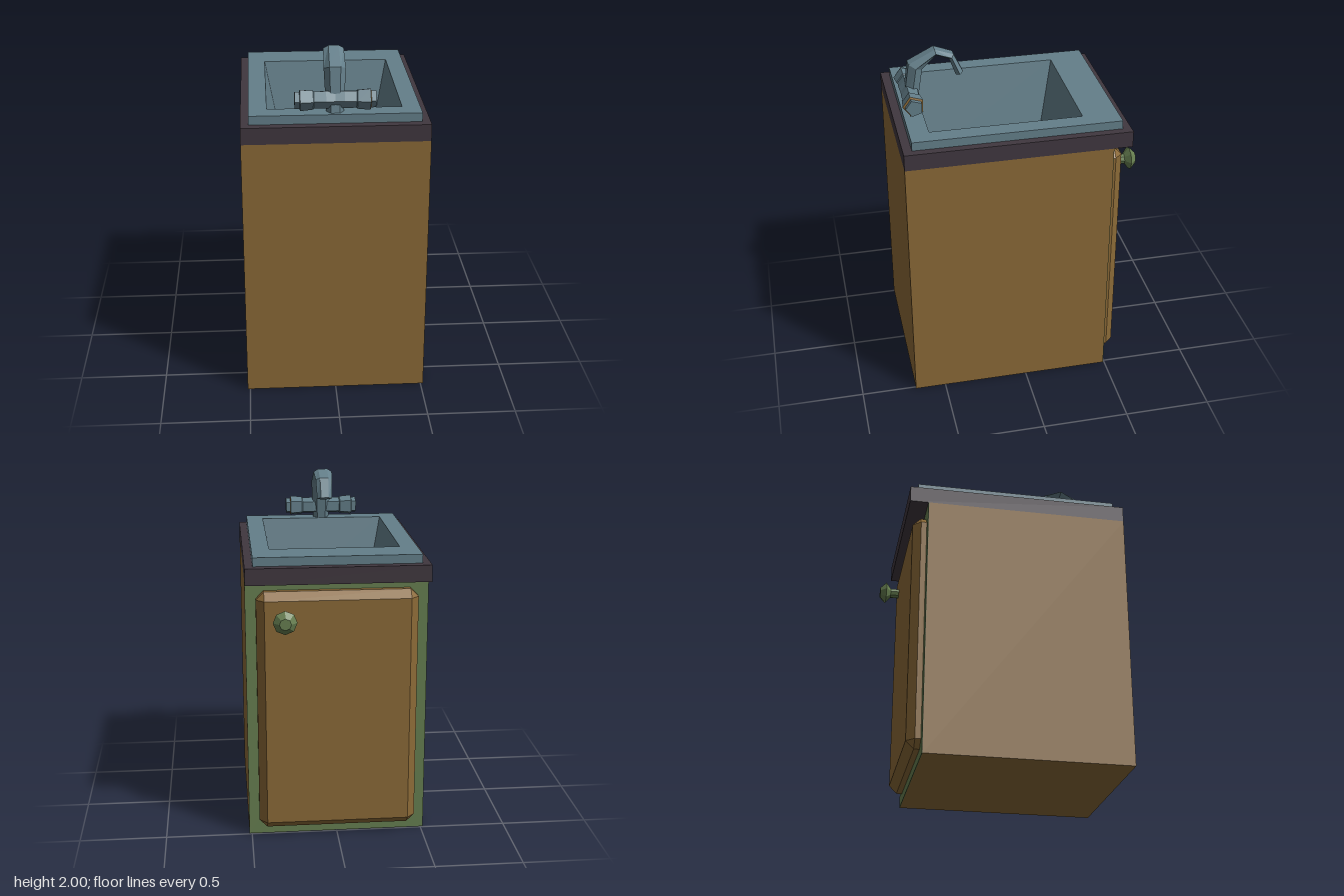
import * as THREE from 'three';
import { ConvexGeometry } from 'three/addons/geometries/ConvexGeometry.js';

const mat = (name, color) => {
  const m = new THREE.MeshStandardMaterial({ color });
  m.name = name;
  return m;
};
const V = (x, y, z) => new THREE.Vector3(x, y, z);

// Horizontal rectangle of corners, counterclockwise from above
const rect = (x, y, z0, z1) => [V(-x, y, z1), V(x, y, z1), V(x, y, z0), V(-x, y, z0)];

// Flat-shaded skin over a row of equal-sized rings, with optional caps
function loft(rings, capStart, capEnd) {
  const pts = [];
  for (let r = 0; r < rings.length - 1; r++) {
    const p = rings[r], q = rings[r + 1], n = p.length;
    for (let i = 0; i < n; i++) {
      const j = (i + 1) % n;
      pts.push(p[i], p[j], q[j], p[i], q[j], q[i]);
    }
  }
  const first = rings[0], last = rings[rings.length - 1];
  for (let i = 1; i < first.length - 1; i++) {
    if (capStart) pts.push(first[0], first[i + 1], first[i]);
    if (capEnd) pts.push(last[0], last[i], last[i + 1]);
  }
  const g = new THREE.BufferGeometry().setFromPoints(pts);
  g.computeVertexNormals();
  return g;
}

// Faceted turned part from [radius, height] pairs
function turned(profile, sides) {
  const g = new THREE.LatheGeometry(profile.map(([r, h]) => new THREE.Vector2(r, h)), sides).toNonIndexed();
  g.computeVertexNormals();
  return g;
}

export function createModel() {
  const wood = mat('wood', 0x8a6937);
  const steel = mat('blue steel', 0x647f8a);
  const dark = mat('dark countertop', 0x40373f);
  const green = mat('green trim', 0x667e50);

  const model = new THREE.Group();
  model.name = 'sinkCabinet';
  const add = (name, geometry, material, parent = model) => {
    const m = new THREE.Mesh(geometry, material);
    m.name = name;
    parent.add(m);
    return m;
  };

  // Cabinet, open under the countertop
  add('cabinet', loft([rect(0.515, 0, -0.49, 0.68), rect(0.515, 1.53, -0.49, 0.68)], true, false), wood);
  add('doorFrame', new THREE.BoxGeometry(1.03, 1.53, 0.004), green).position.set(0, 0.765, -0.491);

  // Countertop with a cutout for the basin
  add('countertop', loft([
    rect(0.4, 1.53, -0.4, 0.55), rect(0.515, 1.53, -0.6, 0.68), rect(0.515, 1.625, -0.6, 0.68),
    rect(0.4, 1.625, -0.4, 0.55), rect(0.4, 1.53, -0.4, 0.55),
  ]), dark);

  // Raised rim, sloping basin walls and floor
  add('basin', loft([
    rect(0.47, 1.625, -0.55, 0.63), rect(0.47, 1.675, -0.55, 0.63),
    rect(0.37, 1.675, -0.345, 0.52), rect(0.27, 1.17, -0.245, 0.42),
  ], false, true), steel);
  add('drain', new THREE.BoxGeometry(0.1, 0.006, 0.1), dark).position.set(0, 1.173, 0.288);

  // Door with chamfered front edges and corners
  const doorPts = [];
  for (const sx of [-1, 1]) for (const sy of [-1, 1]) {
    for (const z of [-0.49, -0.525]) {
      doorPts.push(V(sx * 0.455, 0.765 + sy * 0.665, z), V(sx * 0.41, 0.765 + sy * 0.71, z));
    }
    doorPts.push(V(sx * 0.41, 0.765 + sy * 0.665, -0.57));
  }
  add('door', new ConvexGeometry(doorPts), wood);

  // Door knob
  const knob = add('knob', turned([
    [0.03, 0], [0.03, 0.05], [0.068, 0.08], [0.033, 0.115], [0, 0.115],
  ], 8), green);
  knob.rotation.x = -Math.PI / 2;
  knob.position.set(0.3, 1.33, -0.57);

  // Spout: hexagonal sections [z, y, half thickness, half width] along a bent path
  const faucet = new THREE.Group();
  faucet.name = 'faucet';
  model.add(faucet);
  const path = [
    [0.572, 1.67, 0.04, 0.048], [0.536, 1.905, 0.042, 0.06], [0.42, 1.983, 0.017, 0.056],
    [0.33, 1.948, 0.018, 0.05], [0.285, 1.84, 0.022, 0.045],
  ];
  const rings = path.map(([z, y, half, width], k) => {
    const a = path[Math.max(k - 1, 0)], b = path[Math.min(k + 1, path.length - 1)];
    const t = V(0, b[1] - a[1], b[0] - a[0]).normalize();
    const n = t.clone().cross(V(1, 0, 0));
    return Array.from({ length: 6 }, (_, i) => {
      const ang = i * Math.PI / 3;
      return V(width * Math.cos(ang), y, z).addScaledVector(n, half * Math.sin(ang) / 0.866);
    });
  });
  add('spout', loft(rings, true, true), steel, faucet);

  // Five-sided tap handles
  for (const side of [1, -1]) {
    const tap = new THREE.Group();
    tap.name = side > 0 ? 'leftTap' : 'rightTap';
    tap.rotation.z = -side * Math.PI / 2;
    tap.position.set(0, 1.745, 0.573);
    faucet.add(tap);
    add('tapHandle', turned([[0.048, 0], [0.052, 0.05], [0.05, 0.115], [0.056, 0.12], [0.063, 0.19]], 5), steel, tap);
    add('tapCollar', turned([[0.063, 0.19], [0.045, 0.195]], 5), side > 0 ? wood : steel, tap);
    add('tapCap', turned([[0.05, 0.194], [0.05, 0.22], [0, 0.22]], 5), steel, tap);
  }
  return model;
}
